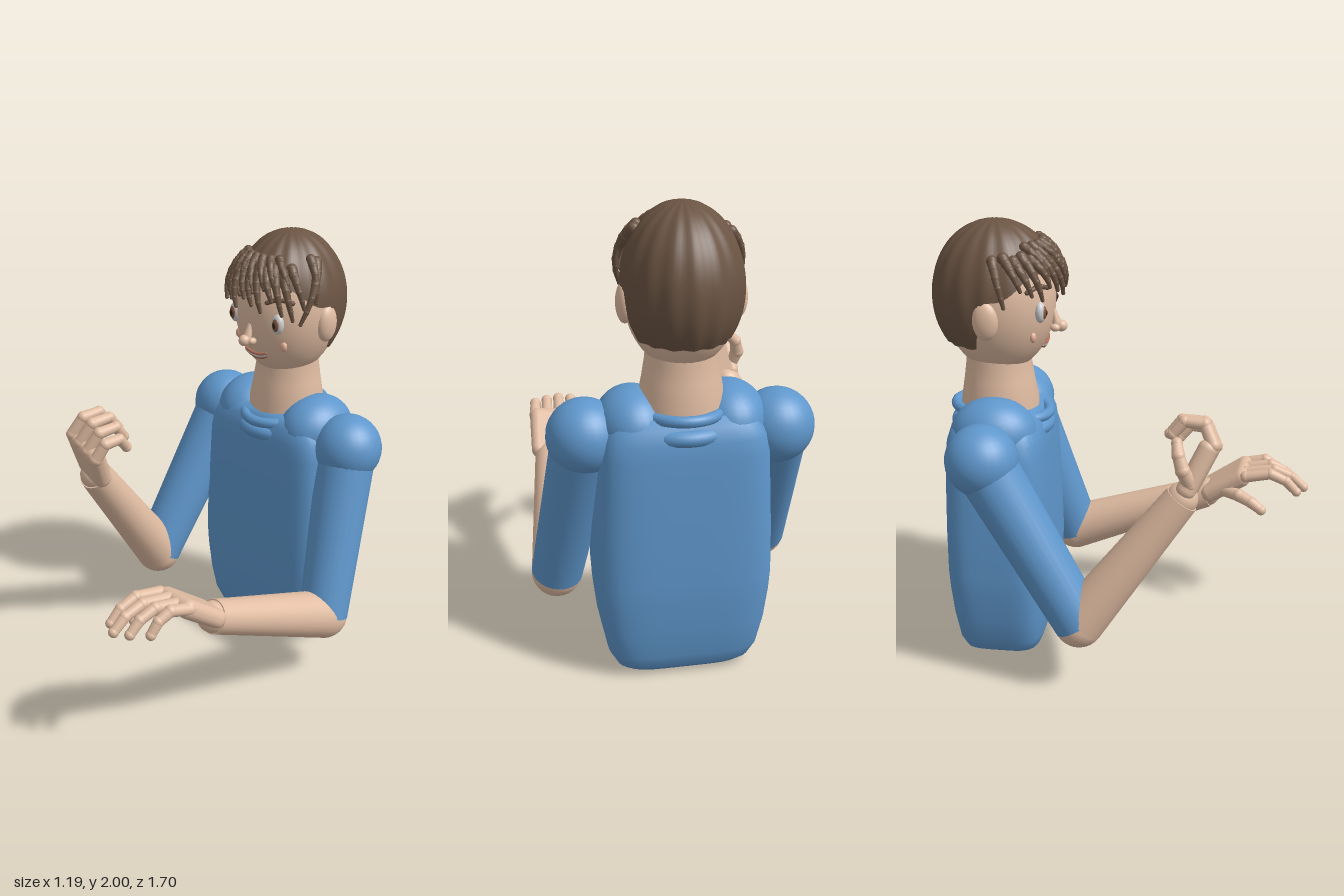
import * as THREE from 'three';
import { mergeVertices } from 'three/addons/utils/BufferGeometryUtils.js';
import { RoundedBoxGeometry } from 'three/addons/geometries/RoundedBoxGeometry.js';

const V = (x, y, z) => new THREE.Vector3(x, y, z);
const mat = (color) => new THREE.MeshStandardMaterial({ color });
const SKIN = mat(0xe0bca2), BLUE = mat(0x5f97cc), HAIR = mat(0x6b5443);
const WHITE = mat(0xe4e4e4), IRIS = mat(0x80533c), DARK = mat(0x2a1d18);
const BLUSH = mat(0xe2ae96), LIP = mat(0xb5705c);
HAIR.side = THREE.DoubleSide;

function add(parent, name, geo, material, pos) {
  const m = new THREE.Mesh(geo, material);
  m.name = name;
  if (pos) m.position.copy(pos);
  parent.add(m);
  return m;
}

function part(parent, name) {
  const g = new THREE.Group();
  g.name = name;
  parent.add(g);
  return g;
}

function ball(parent, name, pos, rx, ry, rz, material, seg = 28) {
  const m = add(parent, name, new THREE.SphereGeometry(1, seg, Math.ceil(seg * 0.7)), material, pos);
  m.scale.set(rx, ry, rz);
  return m;
}

// Tapered rod from a (radius ra) to b (radius rb)
function rod(parent, name, a, b, ra, rb, material, seg = 28) {
  const d = b.clone().sub(a);
  const m = add(parent, name, new THREE.CylinderGeometry(rb, ra, d.length(), seg), material,
    a.clone().add(b).multiplyScalar(0.5));
  m.quaternion.setFromUnitVectors(V(0, 1, 0), d.normalize());
  return m;
}

// Chain of tapered rods with round joints
function chain(parent, name, pts, r0, r1, material, seg = 14) {
  const g = part(parent, name), n = pts.length - 1;
  const r = (i) => r0 + (r1 - r0) * i / n;
  pts.forEach((p, i) => {
    ball(g, 'joint', p, r(i), r(i), r(i), material, seg);
    if (i < n) rod(g, 'segment', p, pts[i + 1], r(i) * 0.96, r(i + 1) * 0.92, material, seg);
  });
}

// Lathe whose round outline is turned into a rounded rectangle
function squaredLathe(profile, hx, hz, n) {
  const geo = new THREE.LatheGeometry(profile.map(([r, y]) => new THREE.Vector2(r, y)), 64);
  geo.deleteAttribute('uv');
  geo.deleteAttribute('normal');
  const p = geo.attributes.position;
  for (let i = 0; i < p.count; i++) {
    const x = p.getX(i), z = p.getZ(i), r = Math.hypot(x, z);
    if (r < 1e-6) continue;
    const f = 1 / Math.pow(Math.pow(Math.abs(x / r), n) + Math.pow(Math.abs(z / r), n), 1 / n);
    p.setX(i, x * f * hx);
    p.setZ(i, z * f * hz);
  }
  const out = mergeVertices(geo, 1e-5);
  out.computeVertexNormals();
  return out;
}

function buildTorso(root) {
  const g = part(root, 'torso');
  add(g, 'shirtBody', squaredLathe([
    [0, 0], [0.5, 0.005], [0.68, 0.015], [0.78, 0.04], [0.87, 0.1], [0.94, 0.22], [0.985, 0.36], [1, 0.45],
    [0.99, 0.65], [0.965, 0.85], [0.945, 1], [0.91, 1.07], [0.83, 1.13], [0.7, 1.165], [0.4, 1.18], [0, 1.18],
  ], 0.37, 0.23, 5), BLUE, V(-0.02, 0, -0.562));
  for (const x of [-0.22, 0.18])
    ball(g, 'shoulderSlope', V(x, 1.1, -0.56), 0.155, 0.155, 0.19, BLUE);
  // Collar rings around the neck
  for (const [y, rx, rz, tube, tilt] of [[1.15, 0.165, 0.21, 0.024, 0.05], [1.085, 0.185, 0.2, 0.034, 0.02]]) {
    const pts = [];
    for (let i = 0; i < 32; i++) {
      const a = i / 32 * Math.PI * 2;
      pts.push(V(rx * Math.sin(a), -tilt * 0.4 * Math.cos(a), rz * Math.cos(a)));
    }
    add(g, 'collar', new THREE.TubeGeometry(new THREE.CatmullRomCurve3(pts, true), 64, tube, 12, true),
      BLUE, V(-0.02, y, -0.56));
  }
  const neck = new THREE.LatheGeometry([[0.18, 1.08], [0.178, 1.2], [0.16, 1.3], [0.148, 1.38], [0.145, 1.5]]
    .map(([r, y]) => new THREE.Vector2(r, y)), 32);
  add(g, 'neck', neck, SKIN, V(-0.02, 0, -0.57)).scale.z = 0.97;
}

function buildArm(root, name, shoulder, elbow, wrist) {
  const g = part(root, name);
  ball(g, 'shoulder', shoulder, 0.158, 0.158, 0.158, BLUE);
  rod(g, 'sleeve', shoulder, elbow, 0.135, 0.113, BLUE);
  ball(g, 'elbow', elbow, 0.112, 0.112, 0.112, SKIN);
  rod(g, 'forearm', elbow, wrist, 0.112, 0.076, SKIN);
  ball(g, 'wrist', wrist, 0.07, 0.07, 0.07, SKIN);
  return g;
}

// Palm slab from wrist to knuckles, with its width along the across direction
function palm(parent, from, to, across, width) {
  const up = to.clone().sub(from), len = up.length();
  up.normalize();
  const nrm = across.clone().cross(up).normalize();
  const side = up.clone().cross(nrm);
  const geo = new RoundedBoxGeometry(width, len, 0.085, 5, 0.04);
  const p = geo.attributes.position;
  for (let i = 0; i < p.count; i++) p.setX(i, p.getX(i) * (0.9 + 0.2 * p.getY(i) / len));
  const m = add(parent, 'palm', geo, SKIN, from.clone().add(to).multiplyScalar(0.5));
  m.quaternion.setFromRotationMatrix(new THREE.Matrix4().makeBasis(side, up, nrm));
}

function buildArms(root) {
  // Left arm, reaching forward with an open hand
  const left = buildArm(root, 'leftArm', V(0.375, 1.055, -0.56), V(0.48, 0.31, -0.32), V(0.43, 0.565, 0.35));
  palm(left, V(0.43, 0.565, 0.34), V(0.395, 0.72, 0.56), V(1, 0, 0), 0.23);
  const reach = [0.25, 0.285, 0.25, 0.19];
  for (let i = 0; i < 4; i++) {
    const x = 0.305 + 0.06 * i, l = reach[i];
    chain(left, 'finger', [V(x, 0.71, 0.54), V(x - 0.01, 0.735, 0.54 + l * 0.48),
      V(x - 0.02, 0.705, 0.54 + l * 0.78), V(x - 0.025, 0.655, 0.535 + l)], 0.029, 0.023, SKIN);
  }
  chain(left, 'thumb', [V(0.35, 0.62, 0.43), V(0.285, 0.62, 0.51), V(0.255, 0.6, 0.57), V(0.235, 0.57, 0.62)],
    0.036, 0.025, SKIN);

  // Right arm, raised with curled fingers
  const right = buildArm(root, 'rightArm', V(-0.425, 1.05, -0.57), V(-0.49, 0.33, -0.15), V(-0.425, 0.92, 0.285));
  palm(right, V(-0.405, 0.92, 0.29), V(-0.335, 1.16, 0.41), V(0.21, -0.1, 0), 0.23);
  for (let i = 0; i < 4; i++) {
    const b = V(-0.415, 1.165, 0.41).lerp(V(-0.25, 1.095, 0.415), i / 3);
    const s = [0.95, 1.05, 1, 0.85][i];
    chain(right, 'finger', [[0, 0, 0], [0.035, 0.085, -0.04], [0.04, 0.09, -0.13], [0.035, 0.03, -0.18]]
      .map(([x, y, z]) => V(x, y, z).multiplyScalar(s).add(b)), 0.03, 0.024, SKIN);
  }
  chain(right, 'thumb', [V(-0.45, 1.0, 0.32), V(-0.475, 1.07, 0.29), V(-0.46, 1.13, 0.27), V(-0.42, 1.17, 0.26)],
    0.036, 0.025, SKIN);
}

function buildFace(root) {
  const g = part(root, 'head'), c = V(-0.02, 1.655, -0.56);
  ball(g, 'skull', c, 0.235, 0.33, 0.25, SKIN, 48);
  const faceZ = (x, y) => c.z + 0.25 * Math.sqrt(1 - ((x - c.x) / 0.235) ** 2 - ((y - c.y) / 0.33) ** 2);
  for (const s of [-1, 1]) {
    const ex = c.x + s * 0.13, ez = faceZ(ex, 1.63);
    ball(g, 'ear', V(c.x + s * 0.228, 1.61, -0.57), 0.036, 0.085, 0.056, SKIN);
    ball(g, 'eyeWhite', V(ex, 1.63, ez), 0.032, 0.046, 0.024, WHITE);
    ball(g, 'iris', V(ex + s * 0.003, 1.63, ez + 0.015), 0.019, 0.03, 0.014, IRIS);
    ball(g, 'pupil', V(ex + s * 0.003, 1.63, ez + 0.024), 0.009, 0.015, 0.008, DARK);
    ball(g, 'cheek', V(c.x + s * 0.138, 1.52, faceZ(c.x + s * 0.138, 1.52)), 0.02, 0.024, 0.014, BLUSH);
    ball(g, 'nostril', V(-0.028 + s * 0.026, 1.535, -0.308), 0.018, 0.017, 0.022, SKIN);
    chain(g, 'eyebrow', [-0.045, -0.015, 0.015, 0.045].map((d, i) => {
      const x = ex + d, y = 1.725 + [0, 0.014, 0.014, 0.002][i];
      return V(x, y, faceZ(x, y) + 0.004);
    }), 0.011, 0.011, HAIR, 10);
  }
  // Nose and smiling mouth
  rod(g, 'noseBridge', V(-0.028, 1.54, -0.3), V(-0.025, 1.61, -0.318), 0.022, 0.01, SKIN, 16);
  ball(g, 'noseTip', V(-0.028, 1.538, -0.285), 0.025, 0.026, 0.028, SKIN);
  const smile = (lift, bend) => new THREE.CatmullRomCurve3([-2, -1, 0, 1, 2].map((k) => {
    const x = c.x + k * 0.033, y = 1.45 + lift + bend * k * k;
    return V(x, y, faceZ(x, y) + 0.006);
  }));
  add(g, 'teeth', new THREE.TubeGeometry(smile(0.005, 0.004), 24, 0.009, 8), WHITE);
  add(g, 'upperLip', new THREE.TubeGeometry(smile(0.013, 0.003), 24, 0.007, 8), LIP);
  add(g, 'lowerLip', new THREE.TubeGeometry(smile(-0.006, 0.0055), 24, 0.008, 8), LIP);
}

function buildHair(root) {
  const g = part(root, 'hair'), step = THREE.MathUtils.smoothstep;
  // Point on the hair shell: a is the angle round from the front, t the angle down from the crown
  const at = (a, t, lift = 0) => V(
    -0.02 + (0.245 + lift) * Math.sin(t) * Math.sin(a),
    1.67 + (0.33 + lift) * Math.cos(t),
    -0.565 + (0.285 + lift) * Math.sin(t) * Math.cos(a));
  const cols = 96, rows = 24, pos = [], idx = [];
  for (let j = 0; j <= rows; j++) for (let i = 0; i < cols; i++) {
    const a = i / cols * Math.PI * 2 - Math.PI, b = Math.abs(a);
    const end = 1.18 + 0.32 * step(b, 0.7, 1.45) + 0.72 * step(b, 1.6, 1.85);
    const t = Math.max(j / rows, 0.001) * end;
    pos.push(...at(a, t, 0.004 * Math.cos(16 * a) * Math.sin(t)).toArray());
    if (j < rows) {
      const k = j * cols, n = (i + 1) % cols;
      idx.push(k + i, k + cols + i, k + n, k + n, k + cols + i, k + cols + n);
    }
  }
  const cap = new THREE.BufferGeometry();
  cap.setAttribute('position', new THREE.Float32BufferAttribute(pos, 3));
  cap.setIndex(idx);
  cap.computeVertexNormals();
  add(g, 'hairCap', cap, HAIR);

  // Fringe locks sweeping to the left side
  const lock = (a0, t0, a1, t1, r) => chain(g, 'lock', [0, 0.2, 0.4, 0.6, 0.8, 1].map((k) =>
    at(a0 + (a1 - a0) * k, t0 + (t1 - t0) * k, 0.004 + 0.022 * Math.sin(k * 2.4))), r, 0.009, HAIR, 10);
  for (let i = 0; i < 13; i++) {
    const a = -1.25 + i * 0.175;
    lock(a, 0.92 + 0.05 * (i % 2), a + 0.2, 1.36 + 0.07 * (i % 3) + (i > 9 ? 0.1 : 0), 0.026);
  }
  for (let i = 0; i < 7; i++) lock(-0.75 + i * 0.22, 0.78, -0.5 + i * 0.22, 1.22 + 0.05 * (i % 2), 0.022);
  lock(1.42, 0.85, 1.0, 1.66, 0.026);
  lock(1.3, 0.8, 1.25, 1.4, 0.024);
  lock(-1.45, 0.95, -1.3, 1.55, 0.024);
}

export function createModel() {
  const root = new THREE.Group();
  root.name = 'figure';
  buildTorso(root);
  buildArms(root);
  buildFace(root);
  buildHair(root);
  return root;
}
